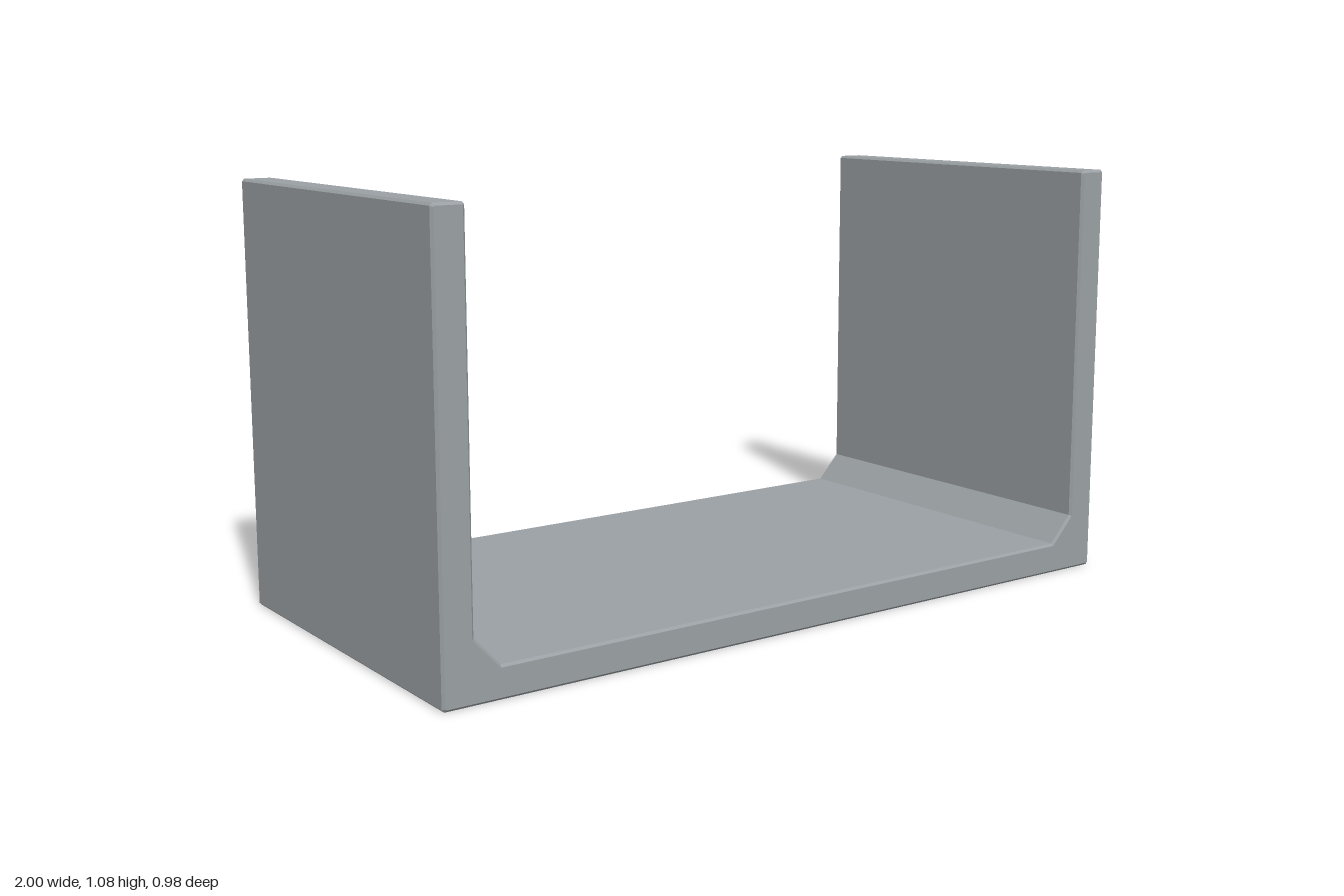
import * as THREE from 'three';

export function createModel() {
  const group = new THREE.Group();
  group.name = 'channel';
  const concrete = new THREE.MeshStandardMaterial({ color: 0x9aa0a3 });
  concrete.name = 'concrete grey';

  const height = 1.08, halfDepth = 0.49, bevel = 0.006;

  // Right half of the U section, from the bottom edge round to the floor,
  // with small chamfers on the outer corners and a haunch at the inner one
  const half = [
    [1 - bevel, 0], [1, bevel],
    [1, height - bevel], [1 - bevel, height],
    [0.92 + bevel, height], [0.92, height - bevel],
    [0.92, 0.15], [0.855, 0.08],
  ];
  const mirrored = half.map(([x, y]) => [-x, y]).reverse();
  const section = new THREE.Shape(
    [...half, ...mirrored].map(([x, y]) => new THREE.Vector2(x, y))
  );

  // Section extruded front to back, with chamfered end faces
  const geometry = new THREE.ExtrudeGeometry(section, {
    depth: 2 * (halfDepth - bevel),
    bevelEnabled: true,
    bevelThickness: bevel,
    bevelSize: bevel,
    bevelOffset: -bevel,
    bevelSegments: 1,
  });
  geometry.translate(0, 0, bevel - halfDepth);

  const trough = new THREE.Mesh(geometry, concrete);
  trough.name = 'troughWallsAndFloor';
  group.add(trough);
  return group;
}
